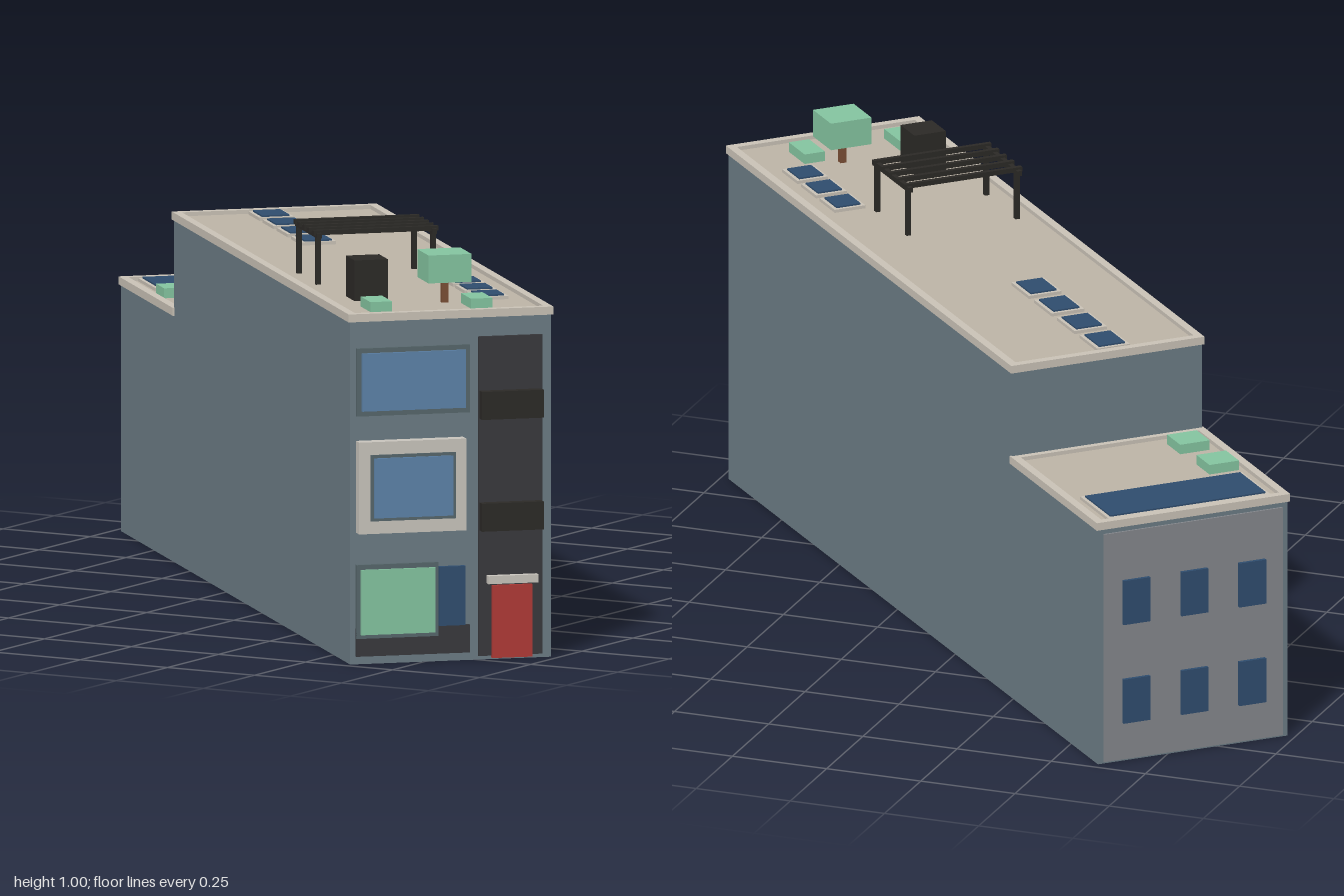
import * as THREE from 'three';

const mat = (c) => new THREE.MeshStandardMaterial({ color: c });
const M = {
  wall: mat(0x6b7b84), rear: mat(0x84878c), roof: mat(0xbdb4a6), coping: mat(0xc9c2b6),
  frame: mat(0x56666b), dark: mat(0x38383c), black: mat(0x2b2926), panel: mat(0x2f4d6e),
  glass: mat(0x5c82a8), green: mat(0x84c4a0), red: mat(0xb03a36), white: mat(0xc8c4bc),
  trunk: mat(0x7a4e35),
};

export function createModel() {
  const model = new THREE.Group();
  model.name = 'townhouse';
  // The house is laid out along z, then turned diagonally
  const house = new THREE.Group();
  house.name = 'house';
  house.rotation.y = Math.PI / 4;
  model.add(house);

  // Box given by its limits on x, y and z
  const box = (name, m, x0, x1, y0, y1, z0, z1, parent = house) => {
    const mesh = new THREE.Mesh(new THREE.BoxGeometry(x1 - x0, y1 - y0, z1 - z0), M[m]);
    mesh.position.set((x0 + x1) / 2, (y0 + y1) / 2, (z0 + z1) / 2);
    mesh.name = name;
    parent.add(mesh);
    return mesh;
  };
  // Box standing on a roof, given by centre and footprint
  const onRoof = (name, m, x, z, w, d, y0, y1) =>
    box(name, m, x - w / 2, x + w / 2, y0, y1, z - d / 2, z + d / 2);

  const W = 0.257, F = 1.128, S = -0.605;

  // Wall block with roof deck and a raised coping round it
  const block = (name, z0, z1, h) => {
    const g = new THREE.Group();
    g.name = name;
    house.add(g);
    box('walls', 'wall', -W, W, 0, h, z0, z1, g);
    box('roofDeck', 'roof', -W + 0.01, W - 0.01, h, h + 0.008, z0 + 0.01, z1 - 0.01, g);
    const o = 0.005, t = 0.016, top = h + 0.018;
    for (const s of [-1, 1]) {
      const a = s * (W + o), b = s * (W - t);
      box('copingSide', 'coping', Math.min(a, b), Math.max(a, b), h - 0.002, top, z0 - o, z1 + o, g);
    }
    box('copingBack', 'coping', -W + t, W - t, h - 0.002, top, z0 - o, z0 + t, g);
    box('copingFront', 'coping', -W + t, W - t, h - 0.002, top, z1 - t, z1 + o, g);
  };
  block('mainBlock', S, F, 0.86);
  block('rearBlock', -F, S, 0.62);

  // Front: upper window
  box('upperWindowFrame', 'frame', -0.242, 0.047, 0.622, 0.792, F, 1.138);
  box('upperWindowGlass', 'glass', -0.23, 0.035, 0.635, 0.78, F, 1.146);

  // Front: projecting bay window
  box('bayFrame', 'white', -0.242, 0.032, 0.33, 0.56, F, 1.16);
  box('bayTrim', 'frame', -0.213, 0.004, 0.362, 0.528, F, 1.164);
  box('bayGlass', 'glass', -0.205, -0.004, 0.37, 0.52, F, 1.17);

  // Front: ground floor shop window and side light
  box('groundFloorPanel', 'dark', -0.243, 0.047, 0.02, 0.09, F, 1.137);
  box('shopWindowFrame', 'frame', -0.243, -0.034, 0.065, 0.25, F, 1.14);
  box('shopWindow', 'green', -0.233, -0.043, 0.075, 0.238, F, 1.147);
  box('sideLight', 'panel', -0.032, 0.035, 0.09, 0.238, F, 1.142);

  // Front: dark entrance strip with balconies, door and canopy
  box('entranceStrip', 'dark', 0.07, 0.233, 0.01, 0.81, F, 1.137);
  for (const y of [0.325, 0.605]) box('balcony', 'black', 0.072, 0.23, y, y + 0.07, F, 1.162);
  box('door', 'red', 0.103, 0.205, 0.005, 0.187, F, 1.146);
  box('doorCanopy', 'white', 0.09, 0.218, 0.192, 0.212, F, 1.156);

  // Rear facade and windows
  box('rearFacade', 'rear', -W + 0.015, W - 0.015, 0.005, 0.605, -1.133, -F);
  for (const x of [-0.157, 0, 0.157])
    for (const y of [0.16, 0.42])
      box('rearWindow', 'panel', x - 0.036, x + 0.036, y - 0.058, y + 0.058, -1.142, -F);

  // Roof panels and skylights, each with a pale rim
  const solar = (name, x, z, w, d, y) => {
    onRoof(name + 'Rim', 'coping', x, z, w + 0.018, d + 0.018, y, y + 0.01);
    onRoof(name, 'panel', x, z, w, d, y, y + 0.014);
  };
  for (let i = 0; i < 4; i++) solar('solarPanel', -0.03, -0.523 + i * 0.139, 0.07, 0.09, 0.866);
  for (let i = 0; i < 3; i++) solar('skylight', 0.16, 0.65 + i * 0.114, 0.065, 0.075, 0.866);
  solar('rearRoofPanel', 0, -1.021, 0.42, 0.155, 0.626);

  // Pergola
  const PX = [-0.195, 0.1], PZ = [0.385, 0.572], r = 0.006;
  for (const x of PX) {
    box('pergolaBeam', 'black', x - r, x + r, 0.985, 0.998, 0.368, 0.588);
    for (const z of PZ) box('pergolaPost', 'black', x - r, x + r, 0.866, 0.987, z - r, z + r);
  }
  for (let i = 0; i < 5; i++) {
    const z = PZ[0] + (i / 4) * (PZ[1] - PZ[0]);
    box('pergolaSlat', 'black', PX[0] - 0.012, PX[1] + 0.012, 0.992, 1.004, z - r, z + r);
  }

  // Chimney, tree and shrubs
  onRoof('chimney', 'black', -0.134, 0.82, 0.085, 0.085, 0.866, 0.97);
  onRoof('treeTrunk', 'trunk', 0.035, 0.933, 0.016, 0.016, 0.866, 0.93);
  onRoof('treeCrown', 'green', 0.035, 0.933, 0.11, 0.11, 0.925, 0.995);
  for (const [x, z] of [[0.099, 1.005], [-0.156, 0.997]])
    onRoof('shrub', 'green', x, z, 0.055, 0.097, 0.866, 0.893);
  for (const [x, z] of [[-0.187, -0.859], [-0.18, -0.696]])
    onRoof('rearShrub', 'green', x, z, 0.08, 0.08, 0.626, 0.653);

  return model;
}
